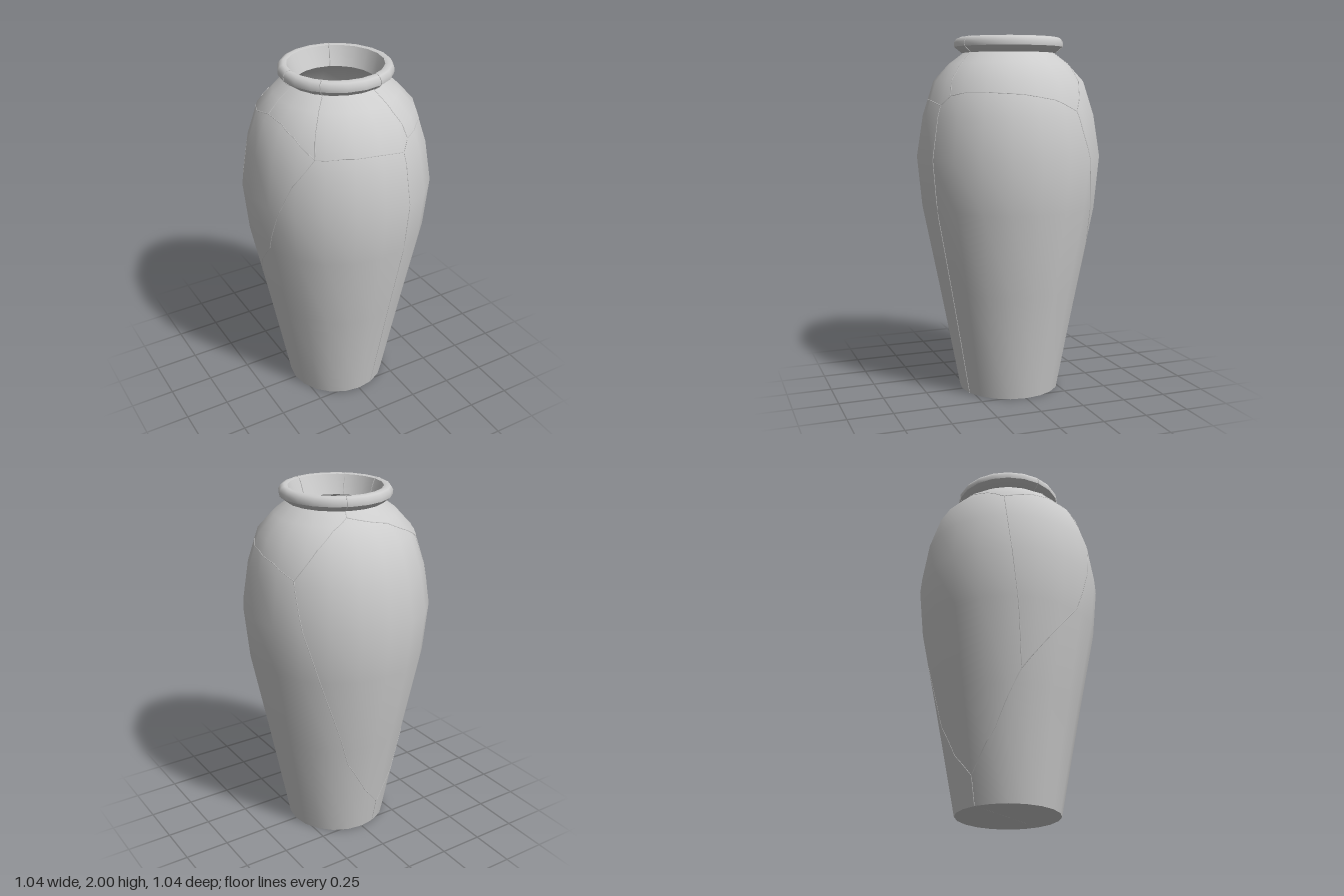
import * as THREE from 'three';
import { toCreasedNormals } from 'three/addons/utils/BufferGeometryUtils.js';

const SIDES = 20;
const STEP = (Math.PI * 2) / SIDES;

// Outer body profile as [radius, height]
const body = [
  [0.285, 0], [0.342, 0.3], [0.4, 0.6], [0.492, 1.06], [0.519, 1.34],
  [0.483, 1.57], [0.422, 1.76], [0.335, 1.855], [0.255, 1.915],
];
// Flared lip with a bevelled underside, running outside to inside
const lip = [
  [0.264, 1.917], [0.303, 1.948], [0.305, 1.972], [0.292, 1.993], [0.275, 2],
  [0.256, 1.995], [0.216, 1.89],
];
// Inner wall and floor
const inside = [
  [0.31, 1.83], [0.39, 1.74], [0.45, 1.56], [0.483, 1.34], [0.457, 1.06],
  [0.365, 0.6], [0.307, 0.3], [0.256, 0.035], [0, 0.035],
];

function bodyRadius(y) {
  let i = 0;
  while (i < body.length - 2 && y > body[i + 1][1]) i++;
  const [r0, y0] = body[i], [r1, y1] = body[i + 1];
  return r0 + ((r1 - r0) * (y - y0)) / (y1 - y0);
}

// Point on the faceted surface; angle is measured from +z towards +x
function onSurface(angle, r, y) {
  const inFacet = angle - Math.floor(angle / STEP) * STEP - STEP / 2;
  const flat = (r * Math.cos(STEP / 2)) / Math.cos(inFacet);
  return new THREE.Vector3(Math.sin(angle) * flat, y, Math.cos(angle) * flat);
}

// Hairline bead following a list of surface points
function seam(points, material, name) {
  const curve = new THREE.CatmullRomCurve3(points, false, 'centripetal');
  const mesh = new THREE.Mesh(
    new THREE.TubeGeometry(curve, points.length * 2, 0.0025, 4), material);
  mesh.name = name;
  return mesh;
}

// Densely samples [angle, height] corners over the body
function bodyPath(corners) {
  const pts = [];
  corners.forEach(([a, y], i) => {
    const [a1, y1] = corners[i + 1] || [a, y];
    const n = i < corners.length - 1 ? 14 : 1;
    for (let k = 0; k < n; k++) {
      const t = k / n, h = y + (y1 - y) * t;
      pts.push(onSurface(a + (a1 - a) * t, bodyRadius(h), h));
    }
  });
  return pts;
}

export function createModel() {
  const group = new THREE.Group();
  group.name = 'crackedVase';
  const clay = new THREE.MeshStandardMaterial({ color: 0xcccccc });
  clay.name = 'pale grey clay';

  // Hollow vase, one closed shell
  const profile = [[0, 0], ...body, ...lip, ...inside].map(([r, y]) => new THREE.Vector2(r, y));
  const shell = new THREE.Mesh(
    toCreasedNormals(new THREE.LatheGeometry(profile, SIDES), 0.8), clay);
  shell.name = 'vaseShell';
  group.add(shell);

  // Joins between the shards, around and down the body
  const cracks = {
    frontCrack: [[0.32, 0], [0.32, 1.2], [0.32, 1.63], [0.45, 1.68], [0.32, 1.915]],
    leftShoulderCrack: [[0.45, 1.68], [0.7, 1.7], [0.96, 1.7], [1.39, 1.69], [1.79, 1.66], [2.1, 1.6]],
    leftDownCrack: [[2.1, 1.6], [2.26, 1.3], [2.46, 0.95], [2.75, 0.5], [3.1, 0.28], [3.44, 0.15]],
    backShoulderCrack: [[2.1, 1.6], [2.35, 1.76], [2.53, 1.84], [2.76, 1.89], [2.76, 1.915]],
    backRightShoulderCrack: [[2.76, 1.89], [3.14, 1.865], [3.44, 1.845], [3.8, 1.78], [4.03, 1.73]],
    backDownCrack: [[4.03, 1.73], [4.12, 1.34], [4.2, 1.0], [4.25, 0.68], [3.9, 0.38], [3.44, 0.15], [3.44, 0]],
    rightShoulderCrack: [[4.03, 1.73], [4.71, 1.79], [5.03, 1.78], [5.25, 1.74], [5.53, 1.65]],
    rightDownCrack: [[5.53, 1.65], [5.3, 1.5], [5.12, 1.3], [4.95, 1.07], [4.25, 0.68]],
    frontShoulderCrack: [[5.53, 1.65], [5.85, 1.66], [6.28, 1.655], [6.6, 1.63]],
    rightNeckCrack: [[4.71, 1.79], [4.71, 1.915]],
    frontRightNeckCrack: [[5.53, 1.65], [5.5, 1.915]],
  };
  for (const [name, corners] of Object.entries(cracks))
    group.add(seam(bodyPath(corners), clay, name));

  // Joins over the lip
  for (const angle of [0.32, 2.76, 4.71, 5.5])
    group.add(seam(lip.map(([r, y]) => onSurface(angle, r, y)), clay, 'lipCrack'));

  // Split across the base, outside and inside
  for (const [r, y] of [[0.284, 0.002], [0.254, 0.035]])
    group.add(seam([onSurface(0.32, r, y), onSurface(0.32 + Math.PI, r, y)], clay, 'baseCrack'));

  return group;
}
